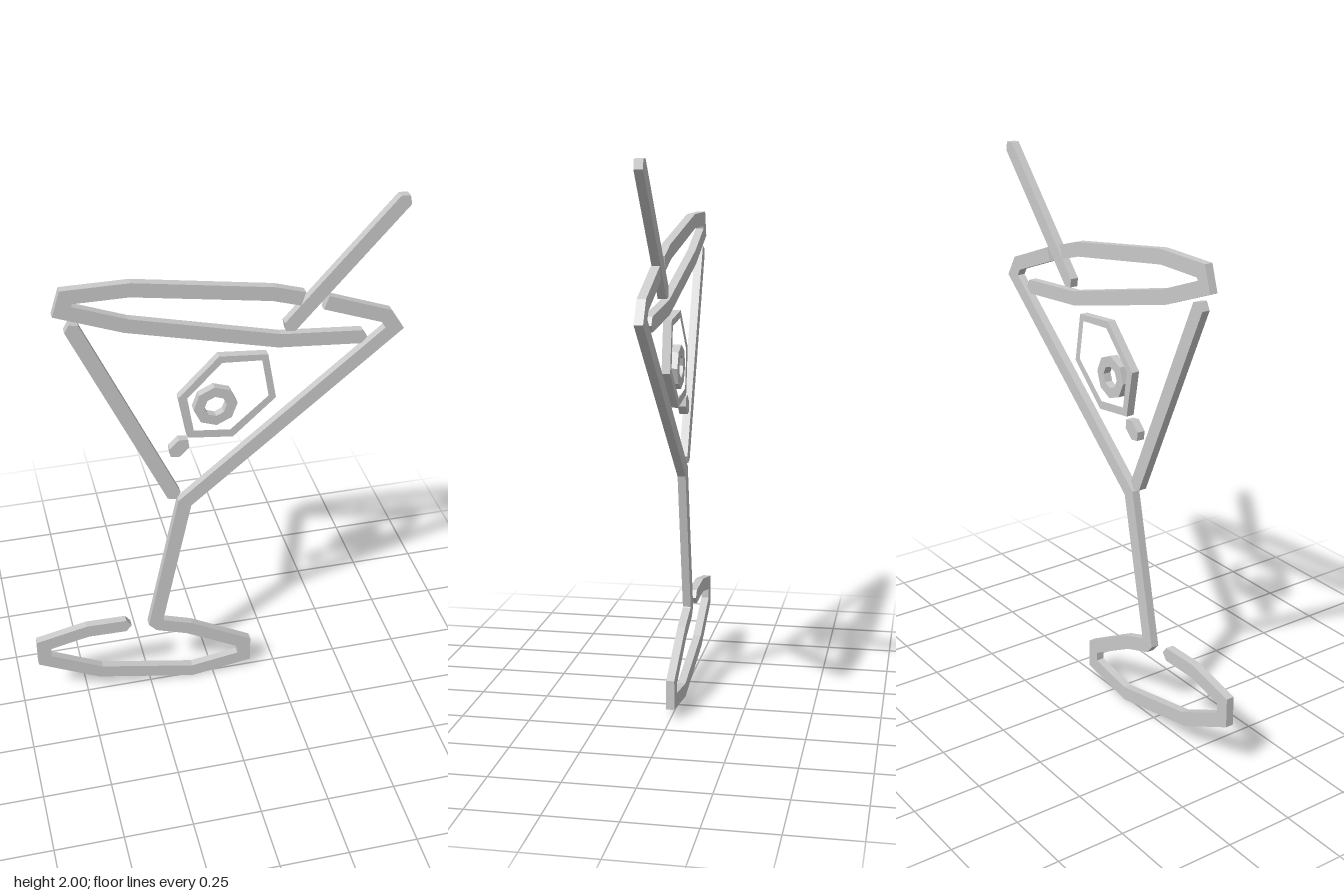
import * as THREE from 'three';

const DEPTH = 0.03;
const WIDTH = 0.052;
const material = new THREE.MeshStandardMaterial({ color: 0xcccccc, flatShading: true });

// Flat plate of a 2D shape, centred on z = 0
function plate(name, shape) {
  const geometry = new THREE.ExtrudeGeometry(shape, { depth: DEPTH, bevelEnabled: false });
  geometry.translate(0, 0, -DEPTH / 2);
  const mesh = new THREE.Mesh(geometry, material);
  mesh.name = name;
  return mesh;
}

// Mitred stroke along a centre line; each end is pointed or cut flat
function stroke(name, coords, { startTip = true, endTip = true } = {}) {
  const pts = coords.map(([x, y]) => new THREE.Vector2(x, y));
  const last = pts.length - 1;
  const dirs = pts.slice(1).map((p, i) => p.clone().sub(pts[i]).normalize());
  const normal = (d) => new THREE.Vector2(-d.y, d.x);
  const tips = [startTip ? pts[0].clone() : null, endTip ? pts[last].clone() : null];
  const inset = WIDTH * 0.38;
  if (startTip) pts[0].addScaledVector(dirs[0], inset);
  if (endTip) pts[last].addScaledVector(dirs[last - 1], -inset);

  const left = [], right = [];
  pts.forEach((p, i) => {
    const a = normal(dirs[Math.max(i - 1, 0)]);
    const b = normal(dirs[Math.min(i, last - 1)]);
    const miter = a.clone().add(b).normalize();
    const reach = WIDTH / 2 / miter.dot(a);
    left.push(p.clone().addScaledVector(miter, reach));
    right.push(p.clone().addScaledVector(miter, -reach));
  });
  const outline = [...right, ...(tips[1] ? [tips[1]] : []), ...left.reverse(), ...(tips[0] ? [tips[0]] : [])];
  return plate(name, new THREE.Shape(outline));
}

// Closed polygon with a polygonal hole
function ring(name, outer, inner) {
  const toVec = ([x, y]) => new THREE.Vector2(x, y);
  const shape = new THREE.Shape(outer.map(toVec));
  shape.holes.push(new THREE.Path(inner.map(toVec)));
  return plate(name, shape);
}

function polygon(cx, cy, r, sides) {
  return Array.from({ length: sides }, (_, i) => {
    const a = (i / sides) * Math.PI * 2 + 0.05;
    return [cx + r * Math.cos(a), cy + r * Math.sin(a)];
  });
}

export function createModel() {
  const group = new THREE.Group();
  group.name = 'cocktailGlassSign';

  // Right wall, stem and foot as one continuous line
  group.add(stroke('wallStemAndFoot', [
    [0.394, 1.63], [0.614, 1.548], [0.646, 1.497], [-0.106, 0.865],
    [-0.225, 0.312], [-0.209, 0.294], [-0.095, 0.254], [0.124, 0.132],
    [0.124, 0.061], [-0.085, 0.028], [-0.447, 0.103], [-0.658, 0.209],
    [-0.658, 0.283], [-0.489, 0.32], [-0.32, 0.317],
  ], { startTip: false }));

  // Rim loop, broken where the stick passes
  group.add(stroke('rim', [
    [0.548, 1.476], [0.233, 1.503], [-0.296, 1.635], [-0.506, 1.716],
    [-0.49, 1.767], [-0.278, 1.767], [0.209, 1.688], [0.312, 1.656],
  ], { endTip: false }));

  group.add(stroke('leftWall', [[-0.486, 1.664], [-0.137, 0.89]]));

  // Cocktail stick above and below the olive
  group.add(stroke('stick', [[0.255, 1.538], [0.664, 1.996]]));
  group.add(stroke('stickEnd', [[-0.155, 1.081], [-0.091, 1.142]]));

  // Olive with its round filling
  group.add(ring('olive',
    [[0.02, 1.471], [0.193, 1.455], [0.225, 1.275], [0.071, 1.132], [-0.093, 1.153], [-0.124, 1.323]],
    [[0.03, 1.444], [0.172, 1.434], [0.198, 1.286], [0.061, 1.164], [-0.071, 1.18], [-0.093, 1.317]]));
  group.add(ring('oliveFilling', polygon(0.008, 1.269, 0.079, 8), polygon(0.008, 1.269, 0.04, 8)));

  return group;
}
